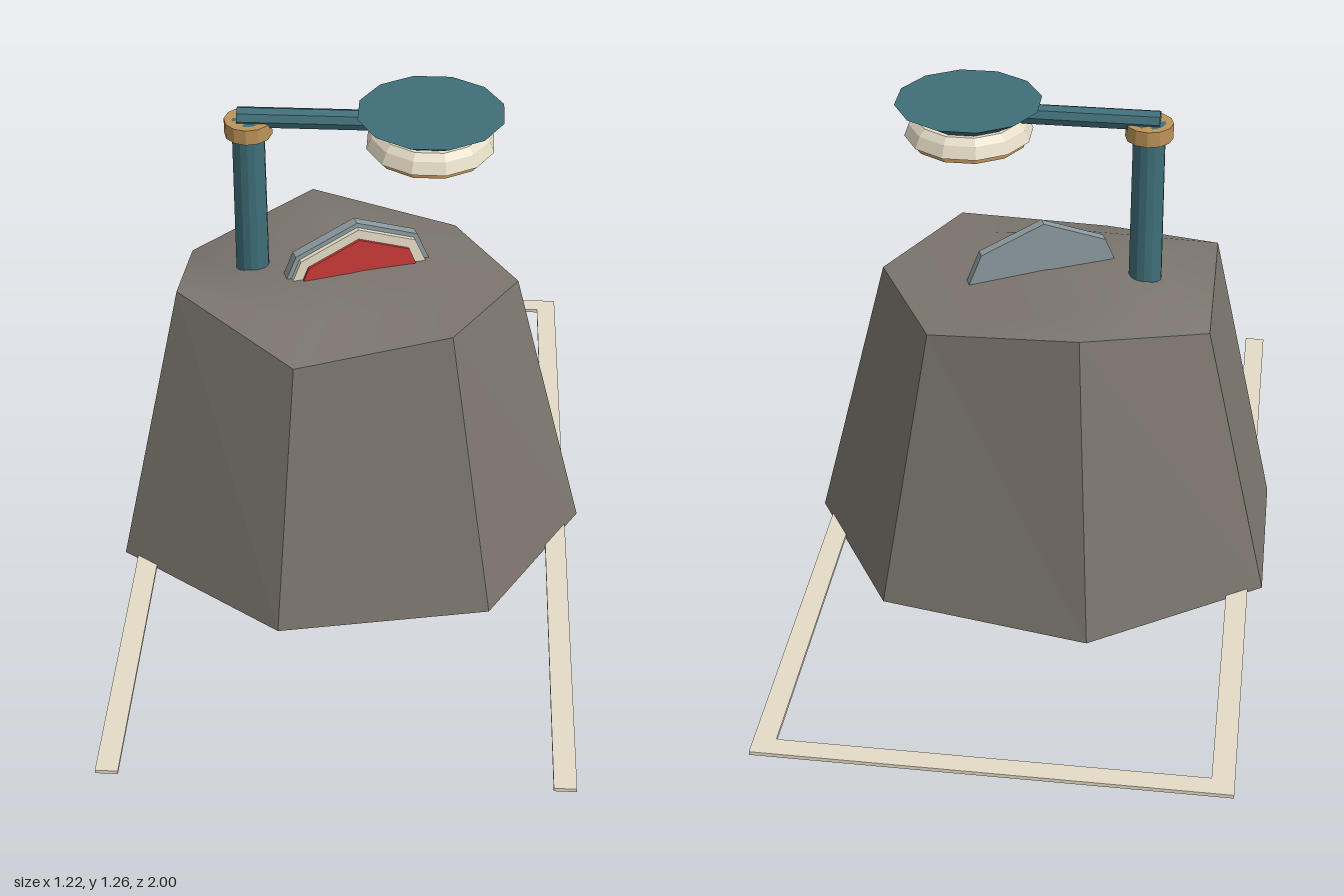
import * as THREE from 'three';

const mat = (name, color, flatShading = true) => {
  const m = new THREE.MeshStandardMaterial({ color, flatShading });
  m.name = name;
  return m;
};

export function createModel() {
  const stone = mat('stone', 0x7b756d, false);
  const teal = mat('teal', 0x3e6e78);
  const cream = mat('cream', 0xe4dcc6);
  const brass = mat('brass', 0xbd9359);
  const red = mat('red', 0xc83b37);
  const grey = mat('grey', 0x8c9a9f);

  const model = new THREE.Group();
  const add = (name, geometry, material, x = 0, y = 0, z = 0, parent = model) => {
    const mesh = new THREE.Mesh(geometry, material);
    mesh.name = name;
    mesh.position.set(x, y, z);
    parent.add(mesh);
    return mesh;
  };

  // Hollow seven-sided rock: rings run down the outside, then up into the cavity
  const base = [[0.61, 0], [0.367, 0.4], [-0.177, 0.5], [-0.612, 0.22], [-0.612, -0.22], [-0.177, -0.5], [0.367, -0.4]];
  const crown = [[0.413, 0.775, 0], [0.25, 0.795, 0.28], [-0.135, 0.74, 0.355], [-0.44, 0.82, 0.155],
    [-0.44, 0.735, -0.155], [-0.135, 0.81, -0.355], [0.25, 0.755, -0.28]];
  const ring = (scale, y) => base.map(([x, z]) => [x * scale, y, z * scale]);
  const strip = (rings) => {
    const pos = [];
    for (let i = 0; i < rings.length - 1; i++) {
      for (let j = 0; j < 7; j++) {
        const k = (j + 1) % 7;
        const a = rings[i][j], b = rings[i][k], c = rings[i + 1][j], d = rings[i + 1][k];
        pos.push(...a, ...b, ...c, ...b, ...d, ...c);
      }
    }
    const g = new THREE.BufferGeometry();
    g.setAttribute('position', new THREE.Float32BufferAttribute(pos, 3));
    g.computeVertexNormals();
    return g;
  };
  add('rockBody', strip([crown, ring(1, 0), ring(0.74, 0), ring(0.74, 0.05), ring(0.62, 0.05), ring(0.5, 0.68)]), stone);

  // Fans closing the rock: a softly domed top and the cavity ceiling
  const fan = (rings, centre) => {
    const index = [];
    const last = (rings.length - 1) * 7;
    const tip = rings.length * 7;
    for (let j = 0; j < 7; j++) {
      const k = (j + 1) % 7;
      for (let i = 0; i < last; i += 7) index.push(i + j, i + 7 + j, i + k, i + k, i + 7 + j, i + 7 + k);
      index.push(last + j, tip, last + k);
    }
    const g = new THREE.BufferGeometry();
    g.setAttribute('position', new THREE.Float32BufferAttribute([...rings.flat(), centre].flat(), 3));
    g.setIndex(index);
    g.computeVertexNormals();
    return g;
  };
  const shoulder = crown.map(([x, y, z]) => [x * 0.62, 0.806 - 0.02 * x + 0.2 * (y - 0.806), z * 0.62]);
  add('rockTop', fan([crown, shoulder], [0, 0.807, 0]), stone);
  add('cavityCeiling', fan([ring(0.5, 0.68).reverse()], [0, 0.7, 0]), stone);

  // Ground outline, open at the front
  for (const s of [-1, 1]) {
    add('groundSideStrip', new THREE.BoxGeometry(0.055, 0.01, 2), cream, s * 0.547, 0.005, 0);
  }
  add('groundBackStrip', new THREE.BoxGeometry(1.04, 0.01, 0.05), cream, 0, 0.005, -0.975);

  // Upright post with brass foot and collar
  const postX = -0.264;
  add('post', new THREE.CylinderGeometry(0.04, 0.046, 1.19, 14), teal, postX, 0.635, 0);
  add('postFoot', new THREE.CylinderGeometry(0.088, 0.088, 0.06, 12), brass, postX, 0.03, 0);
  add('collar', new THREE.CylinderGeometry(0.059, 0.059, 0.04, 12), brass, postX, 1.21, 0);

  // Horizontal arm
  const arm = add('arm', new THREE.CylinderGeometry(0.026, 0.026, 0.46, 8), teal, -0.06, 1.235, 0);
  arm.rotation.z = Math.PI / 2;

  // Lamp head: flared cap, cream bowl, brass lens ring
  const head = new THREE.Group();
  head.name = 'lampHead';
  head.position.set(0.181, 0, 0);
  head.rotation.y = Math.PI / 12;
  model.add(head);
  const disc = (name, rTop, rBottom, yTop, yBottom, m) =>
    add(name, new THREE.CylinderGeometry(rTop, rBottom, yTop - yBottom, 12), m, 0, (yTop + yBottom) / 2, 0, head);
  disc('lampCap', 0.182, 0.118, 1.262, 1.222, teal);
  disc('lampBowl', 0.132, 0.148, 1.224, 1.208, cream);
  disc('lampRim', 0.148, 0.16, 1.208, 1.178, cream);
  disc('lampLens', 0.146, 0.146, 1.18, 1.162, brass);

  // Half-buried octagonal dial, turned toward the left
  const dial = new THREE.Group();
  dial.name = 'dial';
  dial.position.set(0, 0.71, 0);
  dial.rotation.y = 0.39;
  model.add(dial);
  const plate = (name, r, back, front, m) => {
    const g = new THREE.CylinderGeometry(r, r, front - back, 8);
    g.rotateX(Math.PI / 2);
    add(name, g, m, 0, 0, (front + back) / 2, dial);
  };
  plate('dialBack', 0.23, -0.02, 0.006, grey);
  plate('dialRing', 0.217, 0.006, 0.018, cream);
  plate('dialFace', 0.19, 0.018, 0.025, red);

  // Pedestal of the dial, inside the hollow
  add('dialPedestal', new THREE.CylinderGeometry(0.057, 0.057, 0.67, 12), grey, 0, 0.345, 0);

  return model;
}
